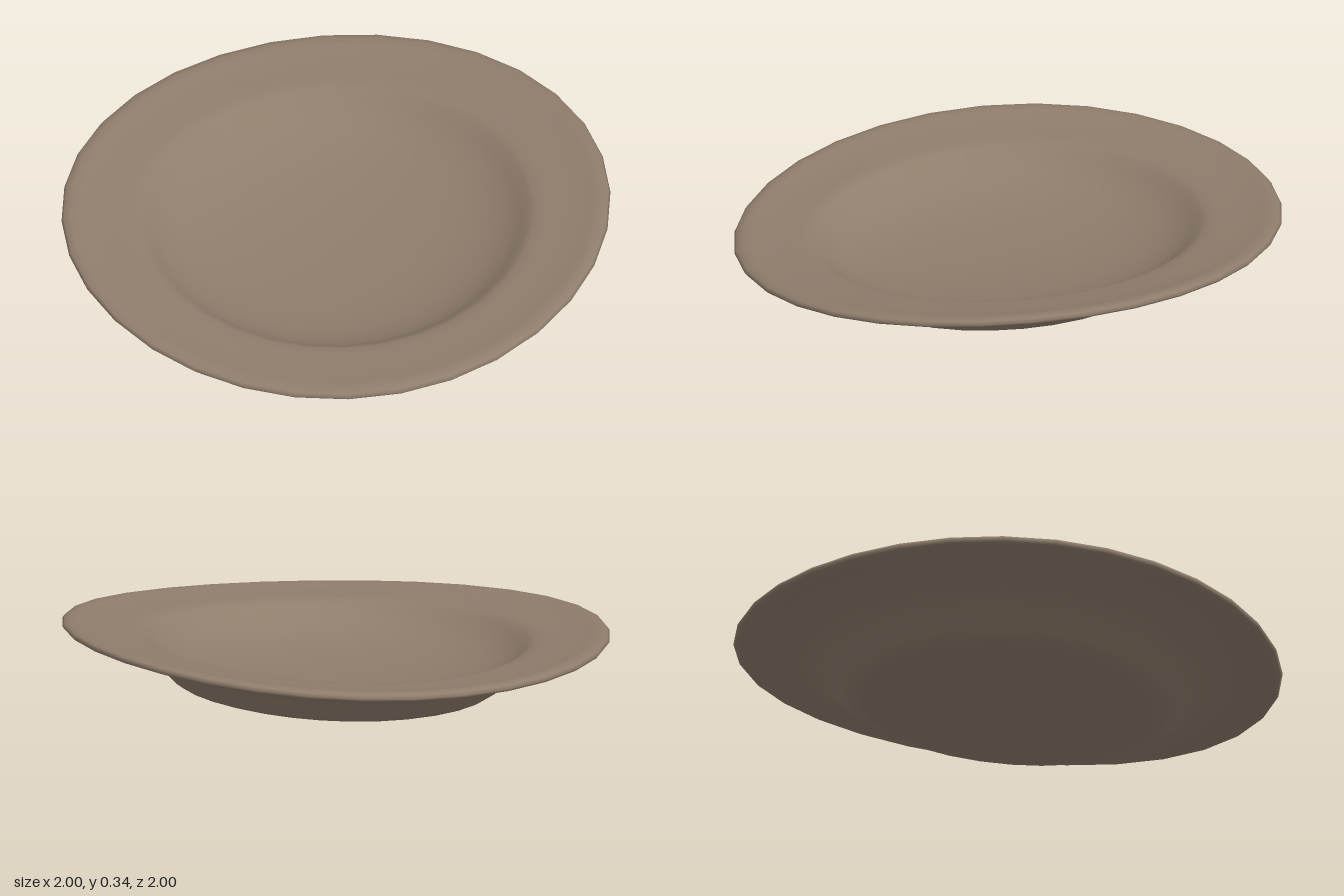
import * as THREE from 'three';
import { mergeVertices } from 'three/addons/utils/BufferGeometryUtils.js';

// Bends a lathed shape out of true: leaning forward, with a slight twist
function warp(geometry) {
  const p = geometry.attributes.position;
  for (let i = 0; i < p.count; i++) {
    const x = p.getX(i), z = p.getZ(i);
    p.setY(i, p.getY(i) + 0.045 - (0.07 + 0.055 * x) * z - 0.008 * x);
  }
  return geometry;
}

// Lathes a profile, warps it and smooths it across the seam
function turned(profile, material, name) {
  const points = profile.map(([r, y]) => new THREE.Vector2(r, y));
  let g = warp(new THREE.LatheGeometry(points, 32));
  g.deleteAttribute('uv');
  g.deleteAttribute('normal');
  g = mergeVertices(g, 1e-5);
  g.computeVertexNormals();
  const mesh = new THREE.Mesh(g, material);
  mesh.name = name;
  return mesh;
}

export function createModel() {
  const group = new THREE.Group();
  group.name = 'plate';
  const clay = new THREE.MeshStandardMaterial({ color: 0x8f7d6c });
  clay.name = 'brown clay';

  // Flat foot under the plate
  group.add(turned([[0, 0], [0.3, 0], [0.5, 0], [0.54, 0.002]], clay, 'foot'));

  // Flared underside, rounded lip, broad rim and shallow well
  group.add(turned([
    [0.54, 0.002], [0.575, 0.012], [0.605, 0.032], [0.645, 0.072], [0.69, 0.107],
    [0.75, 0.137], [0.83, 0.163], [0.91, 0.179], [0.97, 0.188],
    [0.99, 0.194], [0.998, 0.204], [0.99, 0.216], [0.965, 0.222], [0.935, 0.219],
    [0.89, 0.209], [0.82, 0.203], [0.76, 0.199], [0.725, 0.194], [0.7, 0.183],
    [0.67, 0.158], [0.63, 0.13], [0.57, 0.103], [0.49, 0.08], [0.38, 0.062],
    [0.25, 0.05], [0.12, 0.044], [0, 0.042],
  ], clay, 'bowlAndRim'));

  return group;
}
